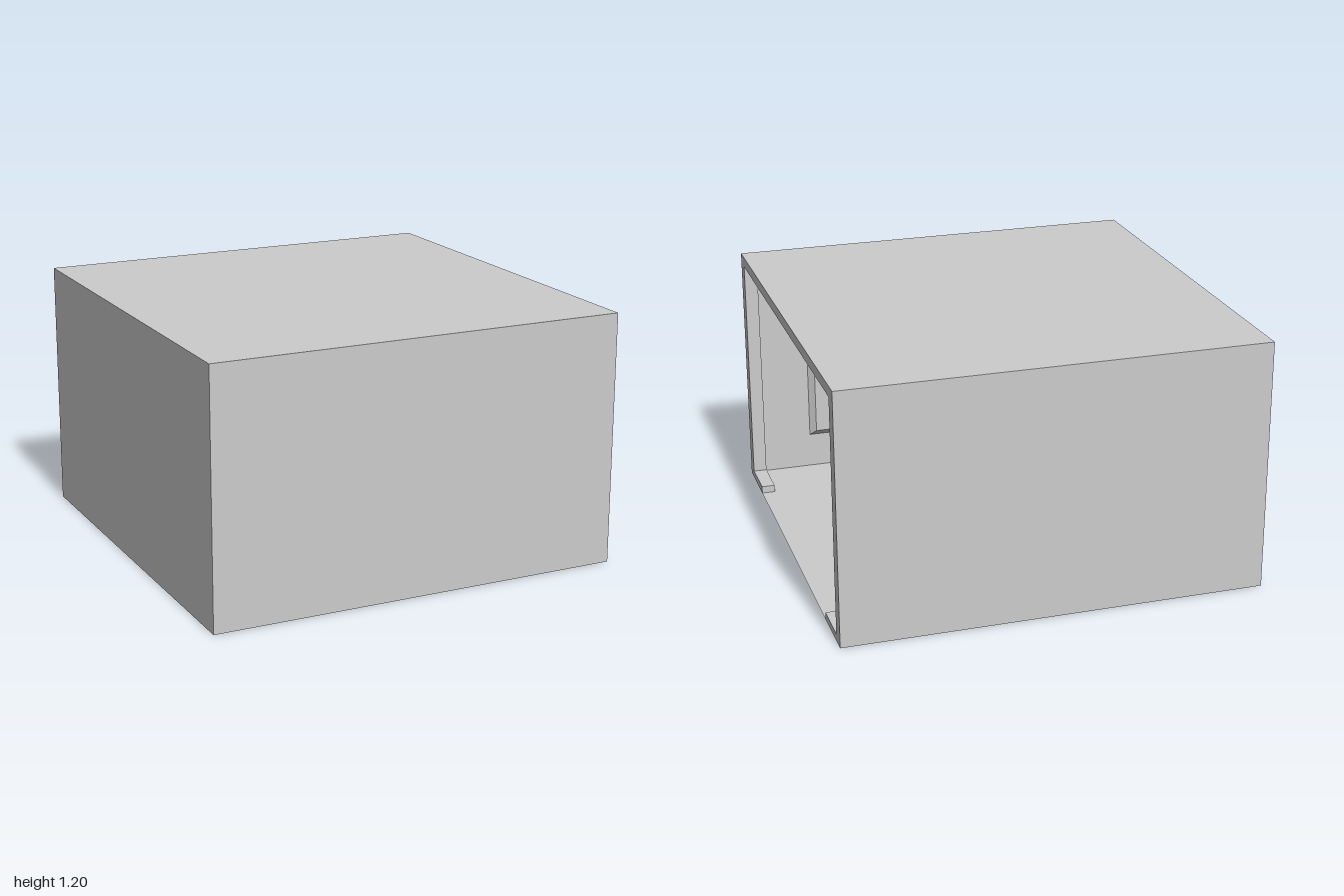
import * as THREE from 'three';

const W = 2, H = 1.2, D = 2;

export function createModel() {
  const model = new THREE.Group();
  const solid = new THREE.MeshStandardMaterial({ color: 0xcccccc });
  const thin = new THREE.MeshStandardMaterial({ color: 0xcccccc, side: THREE.DoubleSide });

  function add(name, geometry, material = solid) {
    const mesh = new THREE.Mesh(geometry, material);
    mesh.name = name;
    model.add(mesh);
    return mesh;
  }

  // Thin room shell: a box without its +x face
  const shell = new THREE.BoxGeometry(W, H, D);
  shell.setIndex(Array.from(shell.index.array).slice(6));
  shell.clearGroups();
  add('roomShell', shell, thin).position.y = H / 2;

  // Frame around the open end, with short lips along the floor
  const half = [[0.72, 0], [0.72, 0.035], [0.93, 0.035], [0.93, 1.15]];
  const outline = [
    [-1, 0], [-1, H], [1, H], [1, 0], ...half,
    ...half.map(([z, y]) => [-z, y]).reverse(),
  ].map(([z, y]) => new THREE.Vector2(z, y));
  const frame = new THREE.ExtrudeGeometry(new THREE.Shape(outline), { depth: 0.065, bevelEnabled: false });
  frame.rotateY(Math.PI / 2);
  add('openingFrame', frame).position.x = W / 2 - 0.065;

  // Raised wall panel whose four sides slope at 45 degrees
  function bevelledPanel(width, height, depth) {
    const g = new THREE.BoxGeometry(width, height, depth).translate(0, 0, depth / 2);
    const p = g.attributes.position;
    for (let i = 0; i < p.count; i++) {
      if (p.getZ(i) > depth / 2) {
        p.setX(i, p.getX(i) - Math.sign(p.getX(i)) * depth);
        p.setY(i, p.getY(i) - Math.sign(p.getY(i)) * depth);
      }
    }
    g.computeVertexNormals();
    return g;
  }

  // Panels on the inside of both long walls: name, x, bottom, top, width, depth
  const panels = [
    ['largeWallPanel', 0, 0.205, 1.135, 0.5, 0.05],
    ['smallWallPanel', 0.605, 0.175, 0.595, 0.155, 0.03],
    ['smallWallPanel', -0.605, 0.175, 0.595, 0.155, 0.03],
  ];
  for (const side of [-1, 1]) {
    for (const [name, x, bottom, top, width, depth] of panels) {
      const panel = add(name, bevelledPanel(width, top - bottom, depth));
      panel.position.set(x, (bottom + top) / 2, side * D / 2);
      if (side > 0) panel.rotation.y = Math.PI;
    }
  }

  return model;
}
